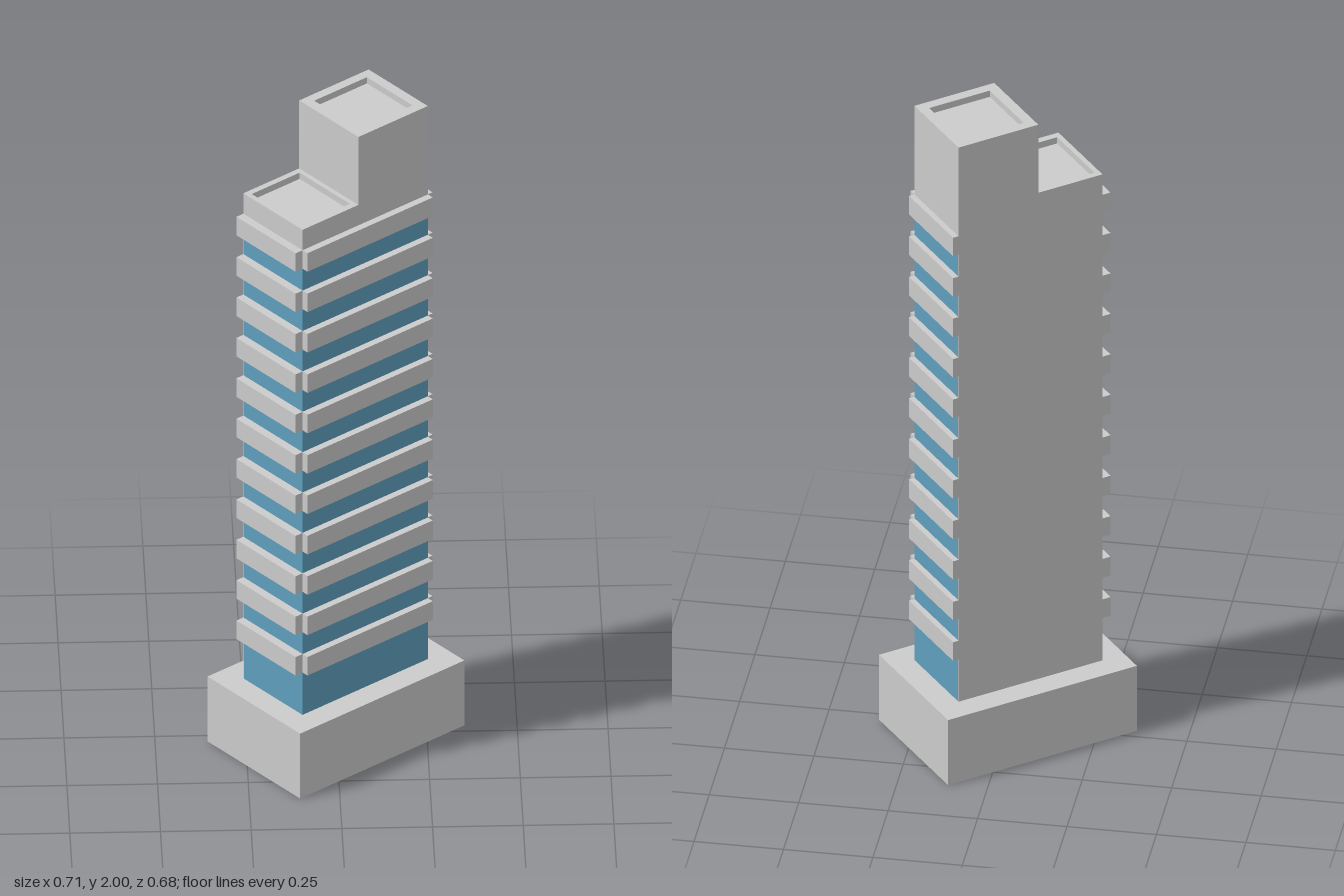
import * as THREE from 'three';

const grey = new THREE.MeshStandardMaterial({ color: 0xcccccc, flatShading: true });
const glass = new THREE.MeshStandardMaterial({ color: 0x609fbe, flatShading: true });

// Tower footprint in its own axes: x along the long side, z towards the glazed front
const L = -0.228, R = 0.225, BACK = -0.126, FRONT = 0.126, SPLIT = -0.026, SKIN = 0.003;
const BASE_TOP = 0.21, GLASS_TOP = 1.655, LOW_TOP = 1.78, HIGH_TOP = 2;

// Box given by its limits on each axis
function block(name, x0, x1, y0, y1, z0, z1, material = grey) {
  const mesh = new THREE.Mesh(new THREE.BoxGeometry(x1 - x0, y1 - y0, z1 - z0), material);
  mesh.position.set((x0 + x1) / 2, (y0 + y1) / 2, (z0 + z1) / 2);
  mesh.name = name;
  return mesh;
}

function polygon(points, Type = THREE.Shape) {
  return new Type(points.map(([x, y]) => new THREE.Vector2(x, y)));
}

const rectangle = (x0, x1, z0, z1) => [[x0, -z0], [x0, -z1], [x1, -z1], [x1, -z0]];

// Roof block: parapet walls around a shallow sunken roof
function crown(name, x0, x1, top, hole) {
  const group = new THREE.Group();
  group.name = name;
  const outline = polygon(rectangle(x0, x1, BACK + SKIN, FRONT));
  outline.holes.push(polygon(rectangle(...hole), THREE.Path));
  const geometry = new THREE.ExtrudeGeometry(outline, { depth: top - GLASS_TOP, bevelEnabled: false });
  geometry.rotateX(-Math.PI / 2);
  const walls = new THREE.Mesh(geometry, grey);
  walls.position.y = GLASS_TOP;
  walls.name = name + 'Parapet';
  group.add(walls, block(name + 'Roof', hole[0], hole[1], GLASS_TOP, top - 0.02, hole[2], hole[3]));
  return group;
}

export function createModel() {
  const model = new THREE.Group();
  model.name = 'tower';

  // Podium and glazed shaft
  model.add(block('podium', -0.297, 0.297, 0, BASE_TOP, -0.197, 0.197));
  model.add(block('glassShaft', L, R, BASE_TOP, GLASS_TOP, BACK + SKIN, FRONT, glass));

  // Blank stepped back wall
  const wallShape = polygon([[L, BASE_TOP], [R, BASE_TOP], [R, HIGH_TOP], [SPLIT, HIGH_TOP], [SPLIT, LOW_TOP], [L, LOW_TOP]]);
  const wall = new THREE.Mesh(new THREE.ExtrudeGeometry(wallShape, { depth: SKIN, bevelEnabled: false }), grey);
  wall.position.z = BACK;
  wall.name = 'backWall';
  model.add(wall);

  // Balcony bands on three sides, open at the corners
  for (let i = 0; i < 11; i++) {
    const y0 = 0.347 + i * 0.1307, y1 = y0 + 0.06;
    const band = new THREE.Group();
    band.name = 'floorBand' + (i + 1);
    band.add(
      block('frontBand', L, R, y0, y1, FRONT, 0.147),
      block('rightBand', -0.253, L, y0, y1, BACK, FRONT),
      block('leftBand', R, 0.242, y0, y1, BACK, FRONT)
    );
    model.add(band);
  }

  // Two roof blocks of different height
  model.add(crown('lowCrown', L, SPLIT, LOW_TOP, [-0.213, -0.04, -0.108, 0.106]));
  model.add(crown('highCrown', SPLIT, R, HIGH_TOP, [0.0045, 0.195, -0.098, 0.096]));

  // The whole building stands turned on its plot
  model.rotation.y = 0.672;
  const root = new THREE.Group();
  root.name = 'building';
  root.add(model);
  return root;
}
